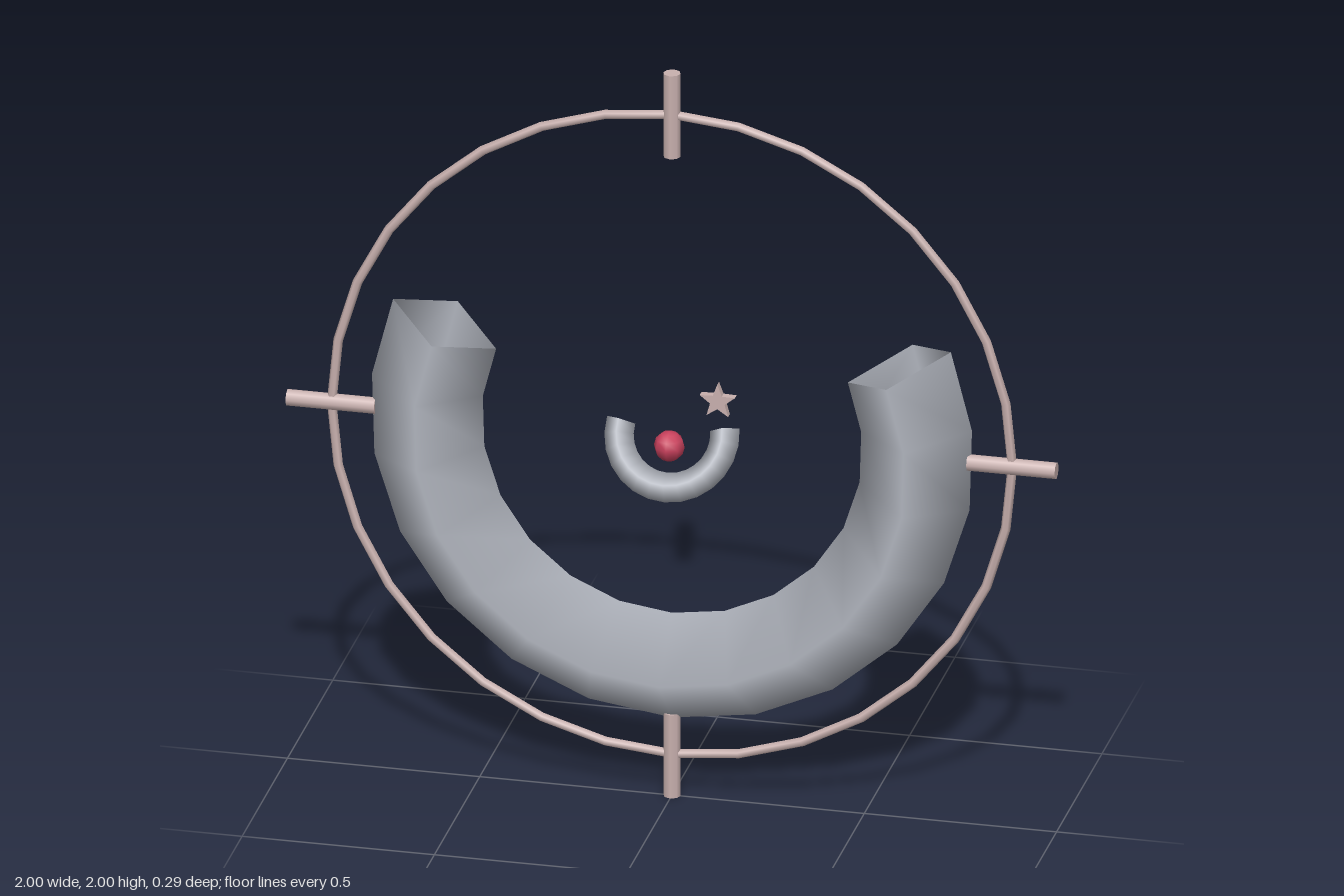
import * as THREE from 'three';

const steel = new THREE.MeshStandardMaterial({ color: 0xb0b4bd, side: THREE.DoubleSide });
steel.name = 'steel grey';
const rose = new THREE.MeshStandardMaterial({ color: 0xc8b0ae });
rose.name = 'pale rose';
const red = new THREE.MeshStandardMaterial({ color: 0xc8405c });
red.name = 'gem red';

function add(parent, name, geometry, material, x = 0, y = 0, z = 0) {
  const mesh = new THREE.Mesh(geometry, material);
  mesh.name = name;
  mesh.position.set(x, y, z);
  parent.add(mesh);
  return mesh;
}

// Open-ended arc with a diamond section, hanging symmetrically below its centre
function hangingArc(radius, tube, segments, degrees) {
  const arc = THREE.MathUtils.degToRad(degrees);
  return new THREE.TorusGeometry(radius, tube, 4, segments, arc).rotateZ(-Math.PI / 2 - arc / 2);
}

function starGeometry(outer, inner, depth) {
  const points = [];
  for (let i = 0; i < 10; i++) {
    const a = Math.PI / 2 + (i * Math.PI) / 5;
    const r = i % 2 ? inner : outer;
    points.push(new THREE.Vector2(r * Math.cos(a), r * Math.sin(a)));
  }
  return new THREE.ExtrudeGeometry(new THREE.Shape(points), { depth, bevelEnabled: false })
    .translate(0, 0, -depth / 2);
}

export function createModel() {
  const model = new THREE.Group();
  model.name = 'crescentEmblem';

  // Thin outer ring
  add(model, 'outerRing', new THREE.TorusGeometry(0.885, 0.0125, 6, 32), rose, 0, 1, 0);

  // Four rods crossing the ring
  const rod = new THREE.CylinderGeometry(0.0225, 0.0225, 0.23, 8);
  for (let i = 0; i < 4; i++) {
    const a = (i * Math.PI) / 2;
    const mesh = add(model, 'crossRod', rod, rose, -0.885 * Math.sin(a), 1 + 0.885 * Math.cos(a), 0);
    mesh.rotation.z = a;
  }

  // Large crescent and the small one tilted forward inside it
  add(model, 'largeCrescent', hangingArc(0.64, 0.145, 14, 225), steel, 0, 1, 0);
  const small = add(model, 'smallCrescent', hangingArc(0.137, 0.038, 14, 200), steel, 0, 1, 0);
  small.rotation.x = -Math.PI / 6;

  // Central bead and star
  add(model, 'bead', new THREE.SphereGeometry(0.04, 8, 6), red, 0, 0.98, 0.03);
  add(model, 'star', starGeometry(0.048, 0.02, 0.02), rose, 0.12, 1.105, 0);

  return model;
}
